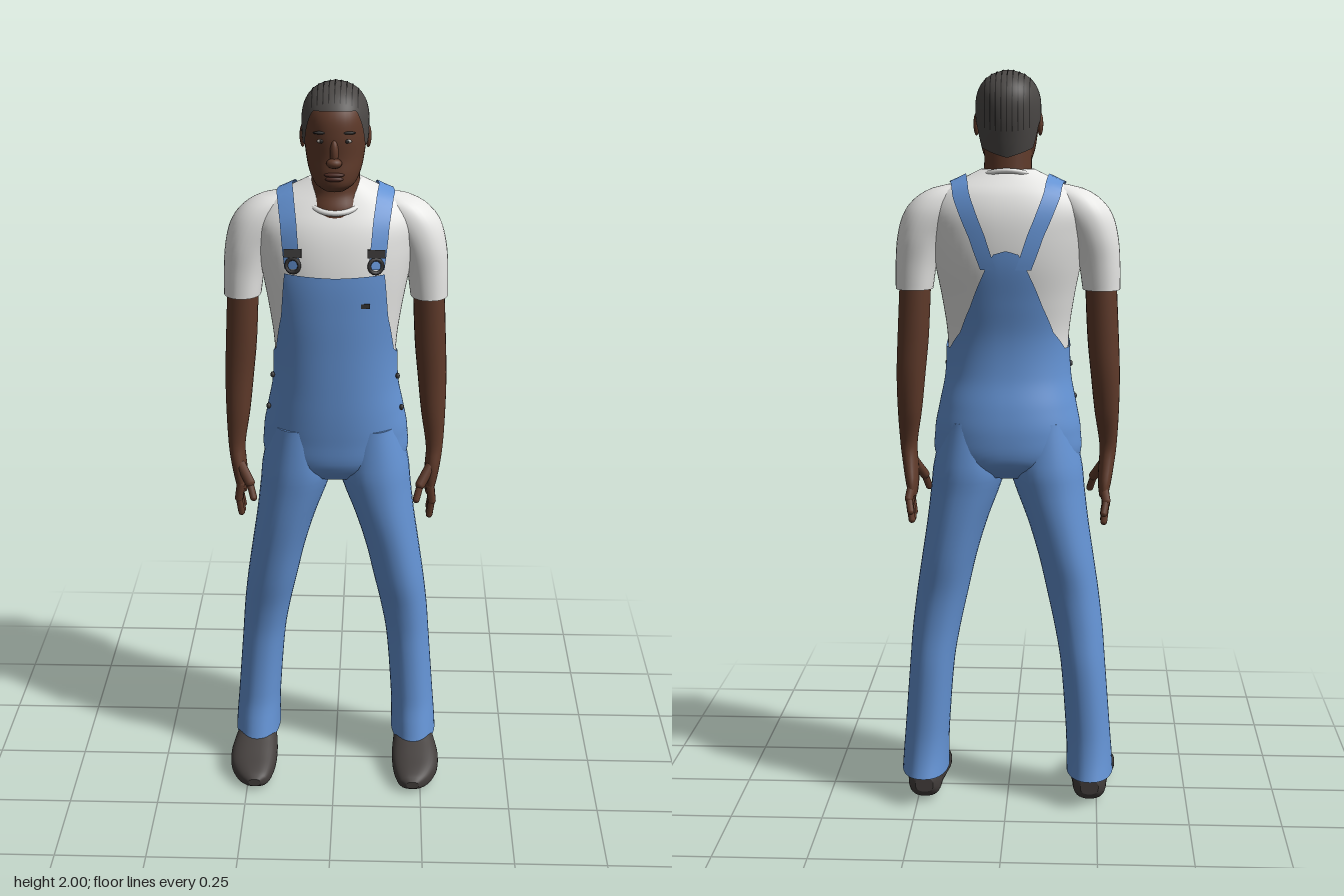
import * as THREE from 'three';

const mat = (name, color, side = THREE.FrontSide) => {
  const m = new THREE.MeshStandardMaterial({ color, side });
  m.name = name;
  return m;
};
const rad = THREE.MathUtils.degToRad;

// Piecewise linear lookup in [[key, value], ...]
function lookup(table, k) {
  for (let i = 1; i < table.length; i++) {
    const [k0, v0] = table[i - 1], [k1, v1] = table[i];
    if (k <= k1) return v0 + (v1 - v0) * Math.max(0, (k - k0) / (k1 - k0));
  }
  return table[table.length - 1][1];
}

// Smooth cross-section at height y from rings [y, xMin, xMax, zFront, zBack]
function section(rings, y) {
  const last = rings.length - 1;
  y = THREE.MathUtils.clamp(y, rings[0][0], rings[last][0]);
  let i = 0;
  while (i < last - 1 && y > rings[i + 1][0]) i++;
  const a = rings[i], b = rings[i + 1], h = b[0] - a[0], t = (y - a[0]) / h;
  const slope = (j, k) => {
    const p = rings[Math.max(0, j - 1)], q = rings[Math.min(last, j + 1)];
    return (q[k] - p[k]) / (q[0] - p[0]);
  };
  const v = [1, 2, 3, 4].map(k => {
    const t2 = t * t, t3 = t2 * t;
    return (2 * t3 - 3 * t2 + 1) * a[k] + (t3 - 2 * t2 + t) * h * slope(i, k)
      + (3 * t2 - 2 * t3) * b[k] + (t3 - t2) * h * slope(i + 1, k);
  });
  return { cx: (v[0] + v[1]) / 2, rx: (v[1] - v[0]) / 2, cz: (v[2] + v[3]) / 2, rz: (v[2] - v[3]) / 2 };
}

// Skin through the rings; lo and hi give the edge heights for an angle (0 front, 180 back)
function loft(rings, { cols = 32, rows = 28, power = 2.2, grow = 0, lo, hi, capLo = true, capHi = true } = {}) {
  const pos = [], idx = [], e = 2 / power, curve = v => Math.sign(v) * Math.abs(v) ** e;
  const y0 = rings[0][0], y1 = rings[rings.length - 1][0];
  for (let r = 0; r <= rows; r++) for (let c = 0; c < cols; c++) {
    const deg = 360 * c / cols, half = deg > 180 ? 360 - deg : deg;
    const a = lo ? lo(half) : y0, b = hi ? hi(half) : y1, y = a + (b - a) * r / rows;
    const s = section(rings, y);
    pos.push(s.cx + (s.rx + grow) * curve(Math.sin(rad(deg))), y, s.cz + (s.rz + grow) * curve(Math.cos(rad(deg))));
  }
  for (let r = 0; r < rows; r++) for (let c = 0; c < cols; c++) {
    const n = (c + 1) % cols, p = r * cols + c, q = r * cols + n;
    idx.push(p, q, q + cols, p, q + cols, p + cols);
  }
  const cap = (row, up) => {
    const base = pos.length / 3, mid = [0, 0, 0];
    for (let c = 0; c < cols; c++) for (let k = 0; k < 3; k++) {
      const v = pos[(row * cols + c) * 3 + k];
      pos.push(v);
      mid[k] += v / cols;
    }
    pos.push(...mid);
    for (let c = 0; c < cols; c++) {
      const p = base + c, q = base + (c + 1) % cols;
      idx.push(base + cols, up ? p : q, up ? q : p);
    }
  };
  if (capLo) cap(0, false);
  if (capHi) cap(rows, true);
  return finish(pos, idx);
}

function finish(pos, idx) {
  const g = new THREE.BufferGeometry();
  g.setAttribute('position', new THREE.Float32BufferAttribute(pos, 3));
  g.setIndex(idx);
  g.computeVertexNormals();
  return g;
}

// Ribbon draped over a lofted body, running front to back around an x axis at (cy, cz)
function drape(rings, cy, cz, xAt, width, from, to, lift, power = 2.2) {
  const pos = [], idx = [], n = 36;
  const inside = (x, y, z) => {
    if (y > rings[rings.length - 1][0]) return false;
    const s = section(rings, y);
    return Math.abs((x - s.cx) / s.rx) ** power + Math.abs((z - s.cz) / s.rz) ** power < 1;
  };
  for (let i = 0; i <= n; i++) {
    const deg = from + (to - from) * i / n, u = Math.sin(rad(deg)), w = Math.cos(rad(deg));
    for (let j = -1; j <= 1; j++) {
      const x = xAt(deg) + j * width / 2;
      let a = 0, b = 0.4;
      for (let k = 0; k < 24; k++) {
        const m = (a + b) / 2;
        if (inside(x, cy + m * u, cz + m * w)) a = m; else b = m;
      }
      pos.push(x, cy + (a + lift) * u, cz + (a + lift) * w);
      if (i && j < 1) {
        const p = i * 3 + j + 1;
        idx.push(p - 3, p - 2, p + 1, p - 3, p + 1, p);
      }
    }
  }
  return finish(pos, idx);
}

const sym = rows => rows.map(([y, rx, f, b]) => [y, -rx, rx, f, b]);
const flip = (rows, s) => s > 0 ? rows : rows.map(([y, a, b, f, k]) => [y, -b, -a, f, k]);
const round = rows => rows.map(([y, cx, cz, rx, rz]) => [y, cx - rx, cx + rx, cz + rz, cz - rz]);

const TORSO = sym([[0.93, 0.12, 0.05, -0.13], [0.97, 0.185, 0.083, -0.17], [1.05, 0.192, 0.092, -0.178],
  [1.12, 0.18, 0.096, -0.168], [1.2, 0.165, 0.097, -0.148], [1.3, 0.163, 0.097, -0.142], [1.4, 0.176, 0.097, -0.157],
  [1.5, 0.195, 0.093, -0.174], [1.58, 0.21, 0.08, -0.176], [1.64, 0.215, 0.06, -0.168], [1.69, 0.18, 0.03, -0.148],
  [1.72, 0.12, 0.01, -0.122], [1.745, 0.07, -0.005, -0.1]]);
const BIB = [[0, 1.515], [38, 1.52], [41, 1.48], [49, 1.4], [68, 1.3], [90, 1.275], [115, 1.275], [135, 1.32],
  [150, 1.39], [163, 1.47], [172, 1.53], [180, 1.54]];
const LEG = [[0.085, 0.165, 0.295, 0.06, -0.178], [0.13, 0.165, 0.292, 0.048, -0.165], [0.2, 0.163, 0.286, 0.032, -0.156],
  [0.4, 0.147, 0.27, 0.025, -0.155], [0.5, 0.13, 0.262, 0.035, -0.15], [0.6, 0.108, 0.25, 0.055, -0.152],
  [0.7, 0.085, 0.235, 0.07, -0.165], [0.8, 0.055, 0.22, 0.083, -0.172], [0.9, 0.018, 0.208, 0.09, -0.175],
  [0.95, 0.005, 0.203, 0.092, -0.177], [1.08, 0.02, 0.175, 0.085, -0.16]];
const SLEEVE = round([[1.43, 0.249, -0.052, 0.05, 0.066], [1.5, 0.243, -0.055, 0.055, 0.07], [1.57, 0.23, -0.058, 0.062, 0.075],
  [1.63, 0.205, -0.06, 0.07, 0.073], [1.67, 0.18, -0.06, 0.063, 0.062], [1.695, 0.15, -0.06, 0.05, 0.045],
  [1.706, 0.13, -0.06, 0.025, 0.025]]);
const ARM = round([[0.865, 0.261, -0.037, 0.012, 0.046], [0.9, 0.263, -0.033, 0.018, 0.049], [0.95, 0.268, -0.025, 0.021, 0.04],
  [1.0, 0.272, -0.025, 0.023, 0.029], [1.1, 0.267, -0.037, 0.033, 0.041], [1.2, 0.262, -0.045, 0.039, 0.047],
  [1.3, 0.255, -0.046, 0.042, 0.05], [1.46, 0.247, -0.045, 0.042, 0.054]]);
// Shoe rings run along z: [z, xMin, xMax, -bottom, -top]
const SHOE = [[-0.13, 0.205, 0.255, -0.03, -0.07], [-0.115, 0.187, 0.273, -0.01, -0.1], [-0.06, 0.18, 0.28, -0.01, -0.115],
  [0, 0.172, 0.29, -0.008, -0.115], [0.06, 0.168, 0.302, -0.004, -0.092], [0.11, 0.172, 0.299, -0.001, -0.072],
  [0.15, 0.182, 0.28, 0, -0.057], [0.175, 0.195, 0.258, -0.008, -0.045], [0.183, 0.21, 0.245, -0.015, -0.037]];
const HEAD = sym([[1.735, 0.028, 0.068, 0], [1.75, 0.05, 0.086, -0.04], [1.78, 0.066, 0.09, -0.08], [1.82, 0.075, 0.087, -0.105],
  [1.88, 0.081, 0.089, -0.12], [1.93, 0.079, 0.08, -0.12], [1.97, 0.058, 0.05, -0.09], [1.985, 0.03, 0.02, -0.06]]);
const HAIR = sym([[1.75, 0.066, 0.08, -0.105], [1.82, 0.08, 0.089, -0.12], [1.88, 0.086, 0.094, -0.13], [1.93, 0.084, 0.085, -0.128],
  [1.965, 0.069, 0.062, -0.11], [1.988, 0.042, 0.03, -0.078], [1.998, 0.012, -0.005, -0.04]]);
const HAIRLINE = [[0, 1.942], [40, 1.94], [52, 1.9], [64, 1.85], [78, 1.85], [90, 1.88], [108, 1.86], [120, 1.8], [180, 1.775]];
const NECK = sym([[1.62, 0.085, 0.05, -0.12], [1.68, 0.075, 0.046, -0.112], [1.72, 0.065, 0.03, -0.108], [1.8, 0.062, 0.03, -0.105]]);
const STRAP = [[16, 0.108], [60, 0.12], [90, 0.134], [120, 0.118], [150, 0.076], [184, 0.045]];

export function createModel() {
  const root = new THREE.Group();
  root.name = 'figure';
  const skin = mat('skin', 0x5f3a2a), lip = mat('lip', 0x4b2a22), hairMat = mat('hair', 0x4b4846, THREE.DoubleSide);
  const dark = mat('hair groove', 0x2c2a29, THREE.DoubleSide), white = mat('shirt', 0xeeeeec);
  const denim = mat('denim', 0x6493d4, THREE.DoubleSide), shoe = mat('shoe', 0x433e3c);
  const metal = mat('buckle', 0x363434), eyeMat = mat('eye', 0xb9b2aa);
  const add = (name, geo, m, x = 0, y = 0, z = 0) => {
    const mesh = new THREE.Mesh(geo, m);
    mesh.name = name;
    mesh.position.set(x, y, z);
    root.add(mesh);
    return mesh;
  };
  const blob = (name, m, p, size) => add(name, new THREE.SphereGeometry(1, 16, 12).scale(...size), m, ...p);
  const limb = (name, m, p, q, r) => {
    const a = new THREE.Vector3(...p), d = new THREE.Vector3(...q).sub(a);
    const mesh = add(name, new THREE.CapsuleGeometry(r, d.length(), 4, 8), m);
    mesh.position.copy(a).addScaledVector(d, 0.5);
    mesh.quaternion.setFromUnitVectors(new THREE.Vector3(0, 1, 0), d.normalize());
  };

  // Torso clothes
  add('shirt', loft(TORSO, { cols: 64, rows: 40, lo: () => 1.2 }), white);
  add('overallsBody', loft(TORSO, { cols: 144, rows: 40, grow: 0.005, hi: d => lookup(BIB, d), capHi: false }), denim);
  const collar = add('collar', new THREE.TorusGeometry(0.078, 0.007, 8, 40).rotateX(Math.PI / 2), white, 0, 1.708, -0.033);
  collar.rotation.x = 0.4;
  collar.scale.z = 1.12;
  add('bibButton', new THREE.BoxGeometry(0.025, 0.012, 0.008), metal, 0.08, 1.44, 0.09);

  // Head
  add('neck', loft(NECK), skin);
  add('head', loft(HEAD, { rows: 36, cols: 40 }), skin);
  add('hair', loft(HAIR, { rows: 30, cols: 96, lo: d => lookup(HAIRLINE, d), capLo: false }), hairMat);
  for (let i = -4; i <= 4; i++) {
    add('hairGroove', drape(HAIR, 1.88, -0.02, () => i * 0.0145, 0.003, 42, 200, 0.0015), dark);
  }
  blob('noseBridge', skin, [0, 1.84, 0.088], [0.011, 0.032, 0.013]);
  blob('noseTip', skin, [0, 1.815, 0.094], [0.02, 0.013, 0.017]);
  blob('upperLip', lip, [0, 1.784, 0.088], [0.026, 0.006, 0.009]);
  blob('lowerLip', lip, [0, 1.773, 0.087], [0.023, 0.007, 0.009]);

  for (const s of [1, -1]) {
    // Face pairs
    blob('ear', skin, [s * 0.084, 1.86, -0.022], [0.008, 0.03, 0.018]);
    blob('eye', eyeMat, [s * 0.032, 1.868, 0.08], [0.012, 0.005, 0.004]);
    blob('pupil', dark, [s * 0.032, 1.868, 0.0825], [0.005, 0.005, 0.003]);
    blob('brow', dark, [s * 0.034, 1.889, 0.08], [0.02, 0.004, 0.006]);

    // Straps with buckles and side buttons
    add('strap', drape(TORSO, 1.5, -0.04, d => s * lookup(STRAP, d), 0.042, 16, 184, 0.008), denim);
    const clip = add('buckle', new THREE.BoxGeometry(0.046, 0.022, 0.012), metal, s * 0.108, 1.575, 0.073);
    clip.rotation.x = -0.25;
    const ring = add('buckleLoop', new THREE.TorusGeometry(0.018, 0.005, 6, 16), metal, s * 0.107, 1.545, 0.082);
    ring.rotation.set(-0.2, s * 0.3, 0);
    for (const y of [1.22, 1.13]) blob('sideButton', metal, [s * (y > 1.2 ? 0.168 : 0.18), y, 0.015], [0.006, 0.008, 0.008]);

    // Arms, hands, legs and shoes
    add('sleeve', loft(flip(SLEEVE, s)), white);
    add('arm', loft(flip(ARM, s), { cols: 24, rows: 36 }), skin);
    [[0, 0.803], [-0.033, 0.795], [-0.068, 0.797], [-0.102, 0.828]].forEach(([z, y], i) => {
      const base = [s * 0.262, 0.89, 0.004 - i * 0.024], tip = [s * 0.262, y, z];
      const mid = [s * 0.268, (base[1] + y) / 2, (base[2] + z) / 2];
      limb('fingerBase', skin, base, mid, 0.0115);
      limb('fingerTip', skin, mid, tip, 0.0095);
    });
    limb('thumbBase', skin, [s * 0.262, 0.95, 0], [s * 0.235, 0.905, 0.025], 0.014);
    limb('thumbTip', skin, [s * 0.235, 0.905, 0.025], [s * 0.224, 0.867, 0.042], 0.01);
    add('trouserLeg', loft(flip(LEG, s), { cols: 40, rows: 44 }), denim);
    add('shoe', loft(flip(SHOE, s), { power: 2.6 }).rotateX(Math.PI / 2), shoe);
  }
  return root;
}
